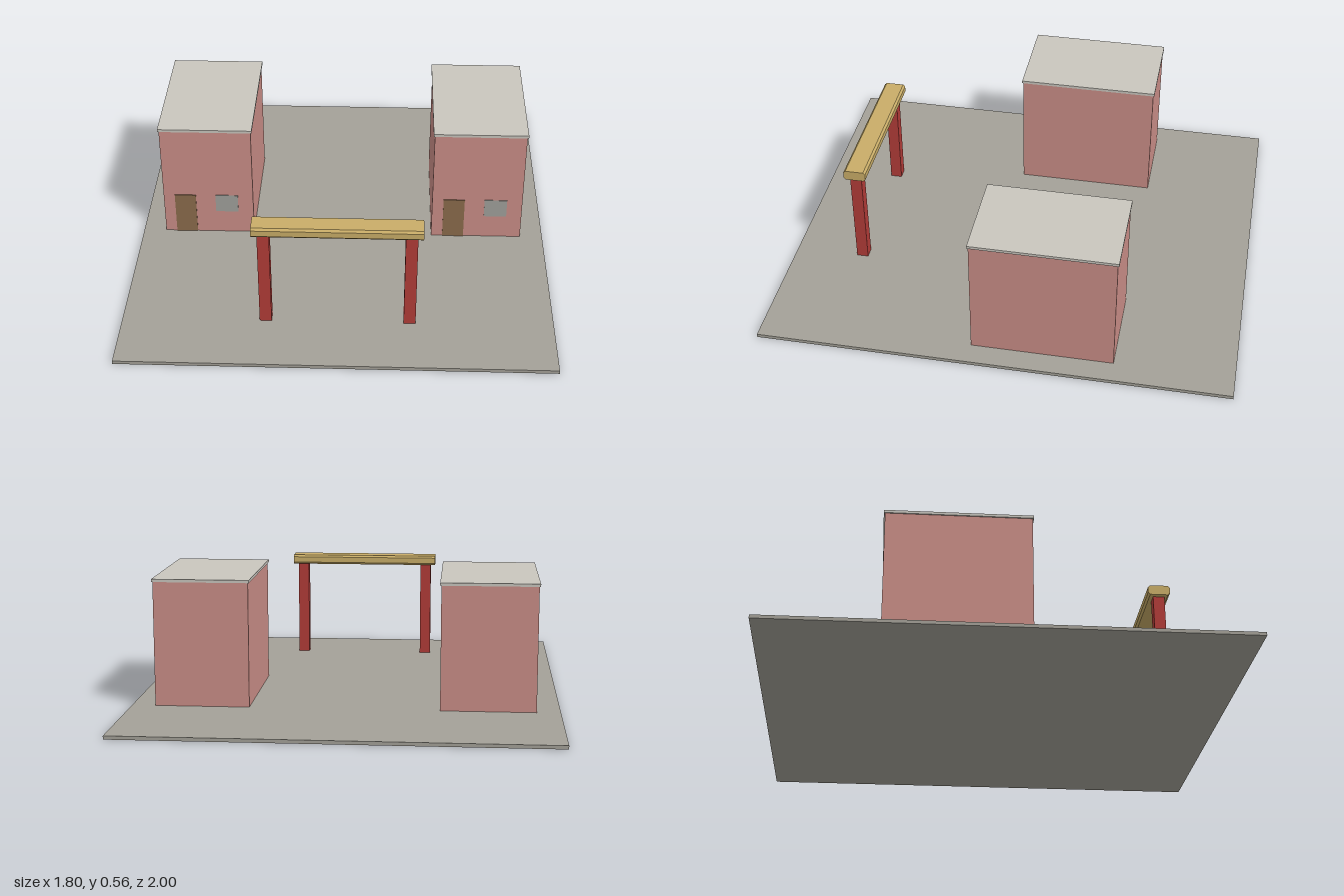
import * as THREE from 'three';

const mat = (name, color) => {
  const m = new THREE.MeshStandardMaterial({ color });
  m.name = name;
  return m;
};

export function createModel() {
  const paving = mat('paving grey', 0xa4a198);
  const wallPink = mat('wall pink', 0xca8e87);
  const roofGrey = mat('roof grey', 0xc9c6be);
  const doorBrown = mat('door brown', 0x8b6b4c);
  const windowGrey = mat('window grey', 0xa0a19b);
  const postRed = mat('post red', 0xb23c38);
  const beamGold = mat('beam gold', 0xc9ad68);

  const model = new THREE.Group();
  model.name = 'courtyard';

  // Box given by its minimum and maximum corners
  const box = (parent, name, material, [x0, y0, z0], [x1, y1, z1]) => {
    const mesh = new THREE.Mesh(new THREE.BoxGeometry(x1 - x0, y1 - y0, z1 - z0), material);
    mesh.position.set((x0 + x1) / 2, (y0 + y1) / 2, (z0 + z1) / 2);
    mesh.name = name;
    parent.add(mesh);
  };

  const floor = 0.015;
  box(model, 'ground', paving, [-0.9, 0, -1], [0.9, floor, 1]);

  // Two identical houses, each with its door left of its window
  for (const [name, x] of [['rightHouse', -0.6], ['leftHouse', 0.6]]) {
    const house = new THREE.Group();
    house.name = name;
    house.position.x = x;
    box(house, 'walls', wallPink, [-0.2, floor, -0.5], [0.2, 0.543, 0.1]);
    box(house, 'roof', roofGrey, [-0.205, 0.543, -0.505], [0.205, 0.555, 0.105]);
    box(house, 'door', doorBrown, [-0.15, floor, 0.098], [-0.056, 0.211, 0.104]);
    box(house, 'window', windowGrey, [0.032, 0.126, 0.098], [0.132, 0.212, 0.103]);
    model.add(house);
  }

  // Gate: two square posts carrying a chamfered beam
  const gate = new THREE.Group();
  gate.name = 'gate';
  for (const [name, x] of [['rightPost', -0.3], ['leftPost', 0.3]]) {
    box(gate, name, postRed, [x - 0.025, floor, 0.675], [x + 0.025, 0.458, 0.725]);
  }
  const w = 0.048, h = 0.022, c = 0.009, length = 0.694;
  const profile = new THREE.Shape([
    [w, -h + c], [w, h - c], [w - c, h], [-w + c, h],
    [-w, h - c], [-w, -h + c], [-w + c, -h], [w - c, -h],
  ].map(([x, y]) => new THREE.Vector2(x, y)));
  const beamGeometry = new THREE.ExtrudeGeometry(profile, { depth: length, bevelEnabled: false });
  beamGeometry.translate(0, 0, -length / 2).rotateY(Math.PI / 2);
  const beam = new THREE.Mesh(beamGeometry, beamGold);
  beam.name = 'beam';
  beam.position.set(0, 0.478, 0.698);
  gate.add(beam);
  model.add(gate);

  return model;
}
